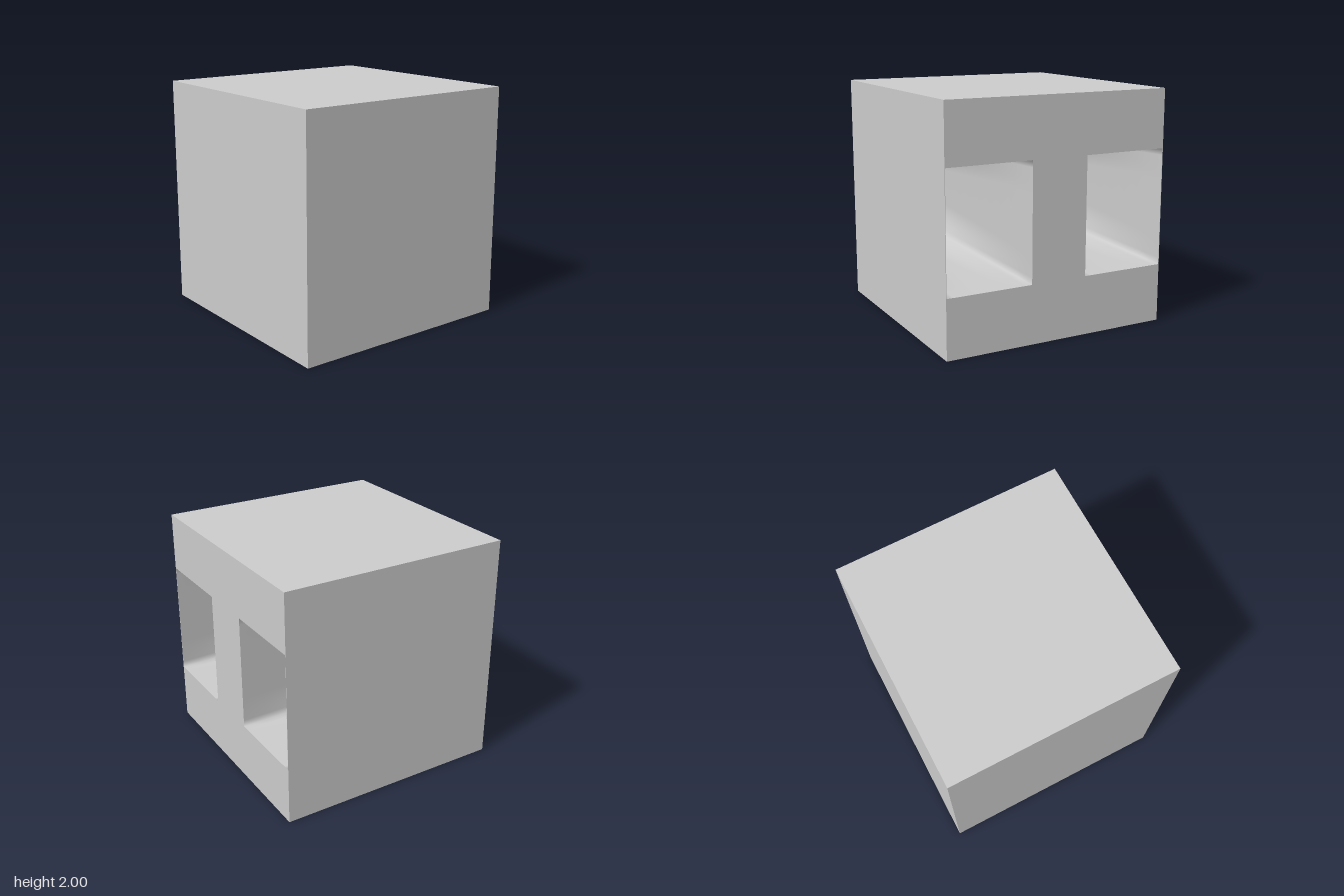
import * as THREE from 'three';

const material = new THREE.MeshStandardMaterial({ color: 0xcccccc });
const liningMaterial = new THREE.MeshStandardMaterial({ color: 0xcccccc, side: THREE.DoubleSide });
const WALL = 0.004, WEB = 0.25;              // thin outer wall, half width of the central web
const CORE_W = 1 - WALL - WEB, CORE_H = 1;
const MOUTH_RADIUS = 0.25, END_RADIUS = 0.36;
const ARC_STEPS = 12, DEPTH_STEPS = 10;

function panel(name, width, height, position, rotation) {
  const mesh = new THREE.Mesh(new THREE.PlaneGeometry(width, height), material);
  mesh.name = name;
  mesh.position.set(...position);
  mesh.rotation.set(...rotation);
  return mesh;
}

// Inward-facing tunnel: square corners at the mouth grow steadily rounder with depth
function tunnelGeometry() {
  const positions = [], indices = [];
  const corners = [[1, 1], [-1, 1], [-1, -1], [1, -1]];
  const n = 4 * (ARC_STEPS + 1);
  for (let j = 0; j <= DEPTH_STEPS; j++) {
    const t = j / DEPTH_STEPS;
    const r = THREE.MathUtils.lerp(MOUTH_RADIUS, END_RADIUS, t);
    corners.forEach(([sx, sy], k) => {
      for (let i = 0; i <= ARC_STEPS; i++) {
        const a = (k + i / ARC_STEPS) * Math.PI / 2;
        const c = Math.cos(a), s = Math.sin(a);
        const square = r / Math.max(Math.abs(c), Math.abs(s));
        const reach = THREE.MathUtils.lerp(square, r, t);
        positions.push(
          sx * (CORE_W / 2 - r) + reach * c,
          sy * (CORE_H / 2 - r) + reach * s,
          THREE.MathUtils.lerp(-1, 1 - WALL, t),
        );
      }
    });
  }
  for (let j = 0; j < DEPTH_STEPS; j++) {
    for (let i = 0; i < n; i++) {
      const a = j * n + i, b = j * n + (i + 1) % n;
      indices.push(a, a + n, b, b, a + n, b + n);
    }
  }
  const geometry = new THREE.BufferGeometry();
  geometry.setAttribute('position', new THREE.Float32BufferAttribute(positions, 3));
  geometry.setIndex(indices);
  geometry.computeVertexNormals();
  return geometry;
}

export function createModel() {
  const model = new THREE.Group();
  model.name = 'hollowBlock';
  const q = Math.PI / 2;

  // Plain outer faces
  model.add(
    panel('frontFace', 2, 2, [0, 1, 1], [0, 0, 0]),
    panel('leftFace', 2, 2, [1, 1, 0], [0, q, 0]),
    panel('rightFace', 2, 2, [-1, 1, 0], [0, -q, 0]),
    panel('topFace', 2, 2, [0, 2, 0], [-q, 0, 0]),
    panel('bottomFace', 2, 2, [0, 0, 0], [q, 0, 0]),
  );

  // Back face with two rectangular openings
  const square = (x0, y0, x1, y1) =>
    [[x0, y0], [x1, y0], [x1, y1], [x0, y1]].map(([x, y]) => new THREE.Vector2(x, y));
  const shape = new THREE.Shape(square(-1, 0, 1, 2));
  shape.holes.push(
    new THREE.Path(square(WEB, 0.5, 1 - WALL, 1.5)),
    new THREE.Path(square(WALL - 1, 0.5, -WEB, 1.5)),
  );
  const back = new THREE.Mesh(new THREE.ShapeGeometry(shape), material);
  back.name = 'backFace';
  back.position.z = -1;
  back.rotation.y = Math.PI;
  model.add(back);

  // Two tunnels, each closed at the front
  const geometry = tunnelGeometry();
  for (const side of [1, -1]) {
    const tunnel = new THREE.Group();
    tunnel.name = side > 0 ? 'leftTunnel' : 'rightTunnel';
    tunnel.position.set(side * (WEB + CORE_W / 2), 1, 0);
    const lining = new THREE.Mesh(geometry, liningMaterial);
    lining.name = 'tunnelLining';
    tunnel.add(lining, panel('tunnelEnd', CORE_W, CORE_H, [0, 0, 1 - WALL], [0, Math.PI, 0]));
    model.add(tunnel);
  }
  return model;
}
